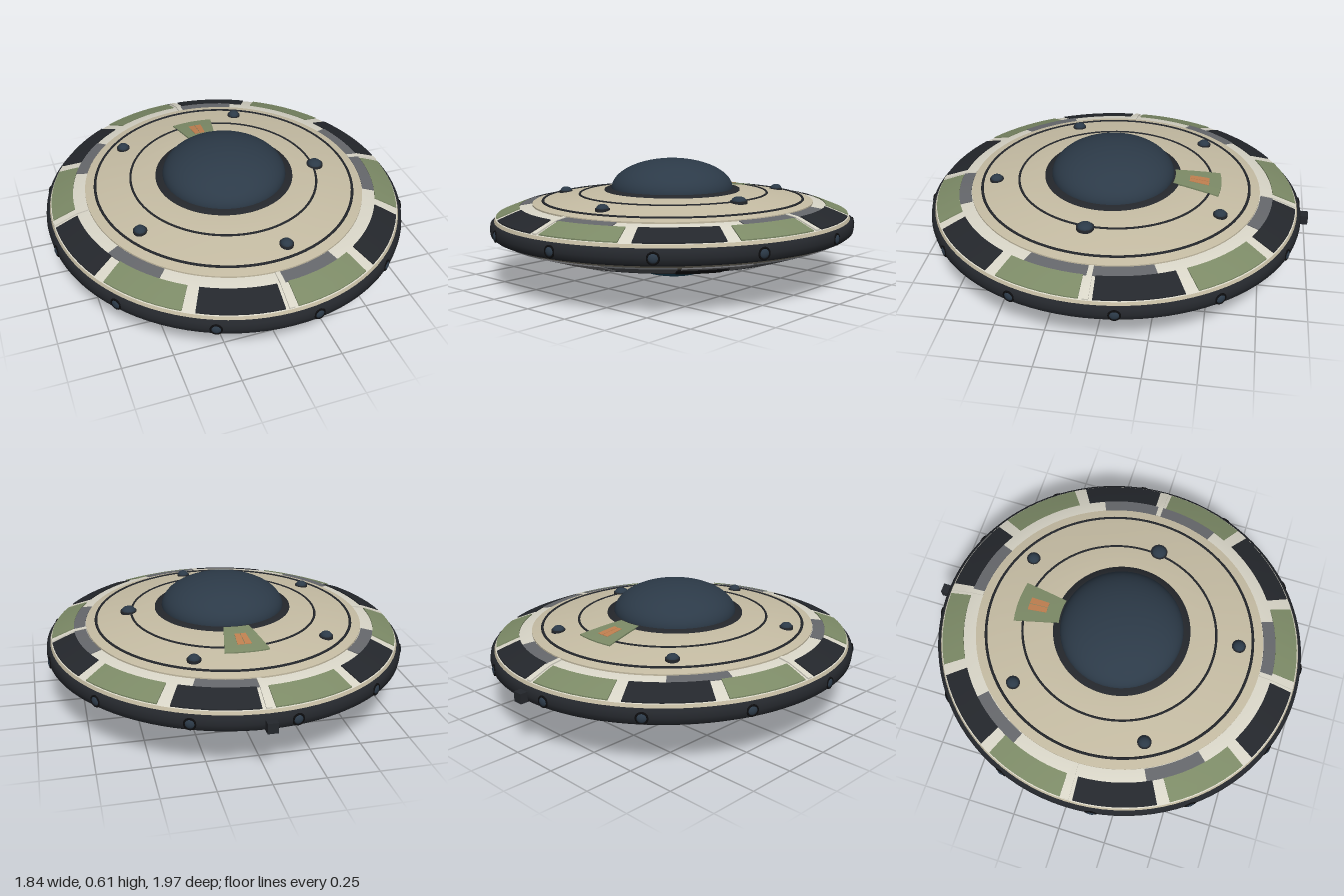
import * as THREE from 'three';

const TAU = Math.PI * 2, RAD = Math.PI / 180;
const mat = (color) => new THREE.MeshStandardMaterial({ color });
const M = {
  tan: mat(0xc6bda4), light: mat(0xd9d6c8), dark: mat(0x24272c), black: mat(0x0c0c0e),
  green: mat(0x7d8b67), grey: mat(0x66686c), under: mat(0x8a8577), slate: mat(0x57595c),
  steel: mat(0x77777a), glass: mat(0x2c3a48), lens: mat(0x1c4a63), orange: mat(0xc08050),
};

// Profiles as [radius, height], running from low to high
const UNDER = [[0.001, 0.055], [0.06, 0.058], [0.25, 0.085], [0.42, 0.11], [0.62, 0.147], [0.68, 0.16], [0.87, 0.225], [0.9, 0.24]];
const RIM = [[0.88, 0.236], [0.902, 0.238], [0.916, 0.25], [0.92, 0.275], [0.916, 0.302], [0.902, 0.314], [0.88, 0.316]];
const BAND = [[0.9, 0.312], [0.893, 0.33], [0.78, 0.376], [0.7, 0.388]];
const DECK = [[0.712, 0.394], [0.66, 0.404], [0.6, 0.414], [0.48, 0.432], [0.35, 0.448], [0.001, 0.458]];

// Height of a profile at radius r
function heightAt(profile, r) {
  const p = [...profile].sort((a, b) => a[0] - b[0]);
  const i = Math.max(1, Math.min(p.length - 1, p.findIndex((q) => q[0] >= r)));
  const [a, b] = [p[i - 1], p[i]];
  return a[1] + (b[1] - a[1]) * (r - a[0]) / (b[0] - a[0]);
}

function add(parent, name, geometry, material, x = 0, y = 0, z = 0) {
  const mesh = new THREE.Mesh(geometry, material);
  mesh.name = name;
  mesh.position.set(x, y, z);
  parent.add(mesh);
  return mesh;
}

const lathe = (points) => new THREE.LatheGeometry(points.map((p) => new THREE.Vector2(p[0], p[1])), 96);

// Box bent around the axis so it lies on a profile; angles in degrees from +z towards +x
function plate(profile, start, end, r0, r1, thick = 0.012, lift = 0) {
  const g = new THREE.BoxGeometry(1, 1, 1, Math.max(2, Math.ceil((end - start) / 4)), 1, 3);
  const p = g.attributes.position;
  for (let i = 0; i < p.count; i++) {
    const phi = (start + (p.getX(i) + 0.5) * (end - start)) * RAD;
    const r = r0 + (p.getZ(i) + 0.5) * (r1 - r0);
    p.setXYZ(i, r * Math.sin(phi), heightAt(profile, r) + lift + p.getY(i) * thick, r * Math.cos(phi));
  }
  g.computeVertexNormals();
  return g;
}

function ringLine(parent, name, profile, r, tube) {
  add(parent, name, new THREE.TorusGeometry(r, tube, 6, 96).rotateX(Math.PI / 2), M.dark, 0, heightAt(profile, r), 0);
}

const cap = (r, h) => new THREE.SphereGeometry(1, 48, 16, 0, TAU, 0, Math.PI / 2).scale(r, h, r);

export function createModel() {
  const model = new THREE.Group();
  model.name = 'saucer';

  // Hull, slightly longer than wide
  const hull = new THREE.Group();
  hull.name = 'hull';
  hull.scale.z = 1.05;
  hull.position.z = 0.02;
  model.add(hull);
  add(hull, 'underside', lathe(UNDER), M.under);
  add(hull, 'rim', lathe(RIM), M.dark);
  add(hull, 'upperLip', lathe(BAND.slice(0, 2)), M.tan);
  add(hull, 'upperBand', lathe(BAND.slice(1)), M.light);
  add(hull, 'deckEdge', lathe([[0.712, 0.38], [0.712, 0.394]]), M.tan);
  add(hull, 'deck', lathe(DECK), M.tan);
  ringLine(hull, 'outerDeckLine', DECK, 0.66, 0.007);
  ringLine(hull, 'innerDeckLine', DECK, 0.477, 0.006);

  // Alternating panels around the upper band
  for (let i = 0; i < 12; i++) {
    const a = i * 30;
    add(hull, 'upperPanel', plate(BAND, a + 2, a + 28, 0.775, 0.888), i % 2 ? M.dark : M.green);
  }
  // Short grey inserts inside them
  for (const a of [78, 101, 168, 235, 307, 12]) {
    add(hull, 'bandInsert', plate(BAND, a - 11, a + 11, 0.715, 0.775, 0.008), M.grey);
  }
  // Raised seams on the main axes
  for (let a = 0; a < 360; a += 90) {
    add(hull, 'bandSeam', plate(BAND, a - 0.9, a + 0.9, 0.715, 0.89, 0.014), M.light);
  }

  // Domed lamps on the deck
  for (let i = 0; i < 5; i++) {
    const a = (10 + i * 72) * RAD, r = i === 1 ? 0.49 : 0.59;
    const s = i === 1 ? 0.042 : 0.034;
    const x = r * Math.sin(a), z = r * Math.cos(a), y = heightAt(DECK, r);
    add(hull, 'deckLampBase', new THREE.CylinderGeometry(s, s, 0.014, 24), M.dark, x, y + 0.002, z);
    add(hull, 'deckLamp', cap(s * 0.85, 0.022), M.glass, x, y + 0.008, z);
  }

  // Round lights along the rim
  for (let i = 0; i < 12; i++) {
    const a = (8 + i * 30) * RAD;
    const light = new THREE.Group();
    light.name = 'rimLight';
    light.position.set(0.914 * Math.sin(a), 0.275, 0.914 * Math.cos(a));
    light.rotation.y = a;
    add(light, 'rimLightCollar', new THREE.TorusGeometry(0.025, 0.005, 8, 24), M.black, 0, 0, 0.003);
    add(light, 'rimLightLens', new THREE.SphereGeometry(0.024, 20, 12).scale(1, 1, 0.55), M.glass);
    hull.add(light);
  }

  // Underside plating
  for (let i = 0; i < 16; i++) {
    const a = i * 22.5;
    add(hull, 'lowerPanel', plate(UNDER, a + 0.6, a + 21.9, 0.7, 0.855, 0.012), i % 2 ? M.slate : M.steel);
  }
  for (let i = 0; i < 8; i++) {
    const a = 11 + i * 45;
    add(hull, 'lowerBlackPanel', plate(UNDER, a - 18.5, a + 18.5, 0.43, 0.62, 0.016), M.black);
  }
  add(hull, 'lowerHatch', plate(UNDER, 44, 61, 0.62, 0.8, 0.02), M.black);
  ringLine(hull, 'lowerOuterLine', UNDER, 0.66, 0.007);
  ringLine(hull, 'lowerInnerLine', UNDER, 0.39, 0.005);
  add(hull, 'lensSurround', plate(UNDER, 0, 360, 0.2, 0.285, 0.012), M.dark);
  for (let i = 0; i < 10; i++) {
    const a = (20 + i * 36) * RAD, r = 0.335;
    add(hull, 'lowerStud', new THREE.SphereGeometry(0.01, 10, 8), M.black, r * Math.sin(a), heightAt(UNDER, r), r * Math.cos(a));
  }

  // Canopy with collar, and the hatch behind it
  const top = new THREE.Group();
  top.name = 'canopyGroup';
  top.position.z = 0.033;
  model.add(top);
  add(top, 'canopyCollar', lathe([[0.354, 0.435], [0.352, 0.455], [0.31, 0.46]]), M.dark);
  add(top, 'canopy', cap(0.317, 0.155), M.glass, 0, 0.456, 0);
  add(top, 'hatch', plate(DECK, 168.7, 191.3, 0.325, 0.562, 0.016, 0.004), M.green);
  for (const s of [-1, 1]) {
    add(top, 'hatchMark', plate(DECK, 180 + s * 2.1 - 1.9, 180 + s * 2.1 + 1.9, 0.4, 0.5, 0.008, 0.01), M.orange);
  }

  // Oval lens under the hull, with a flat back
  const lens = new THREE.Group();
  lens.name = 'bellyLens';
  lens.position.set(0, 0.05, 0.05);
  lens.scale.z = 0.84;
  model.add(lens);
  add(lens, 'lensGlass', cap(0.205, 0.05).rotateX(Math.PI), M.lens);
  add(lens, 'lensBack', new THREE.CircleGeometry(0.205, 48).rotateX(-Math.PI / 2), M.dark);

  // Tail block
  add(model, 'tailBlock', new THREE.BoxGeometry(0.05, 0.05, 0.06), M.dark, 0, 0.27, -0.952);

  return model;
}
